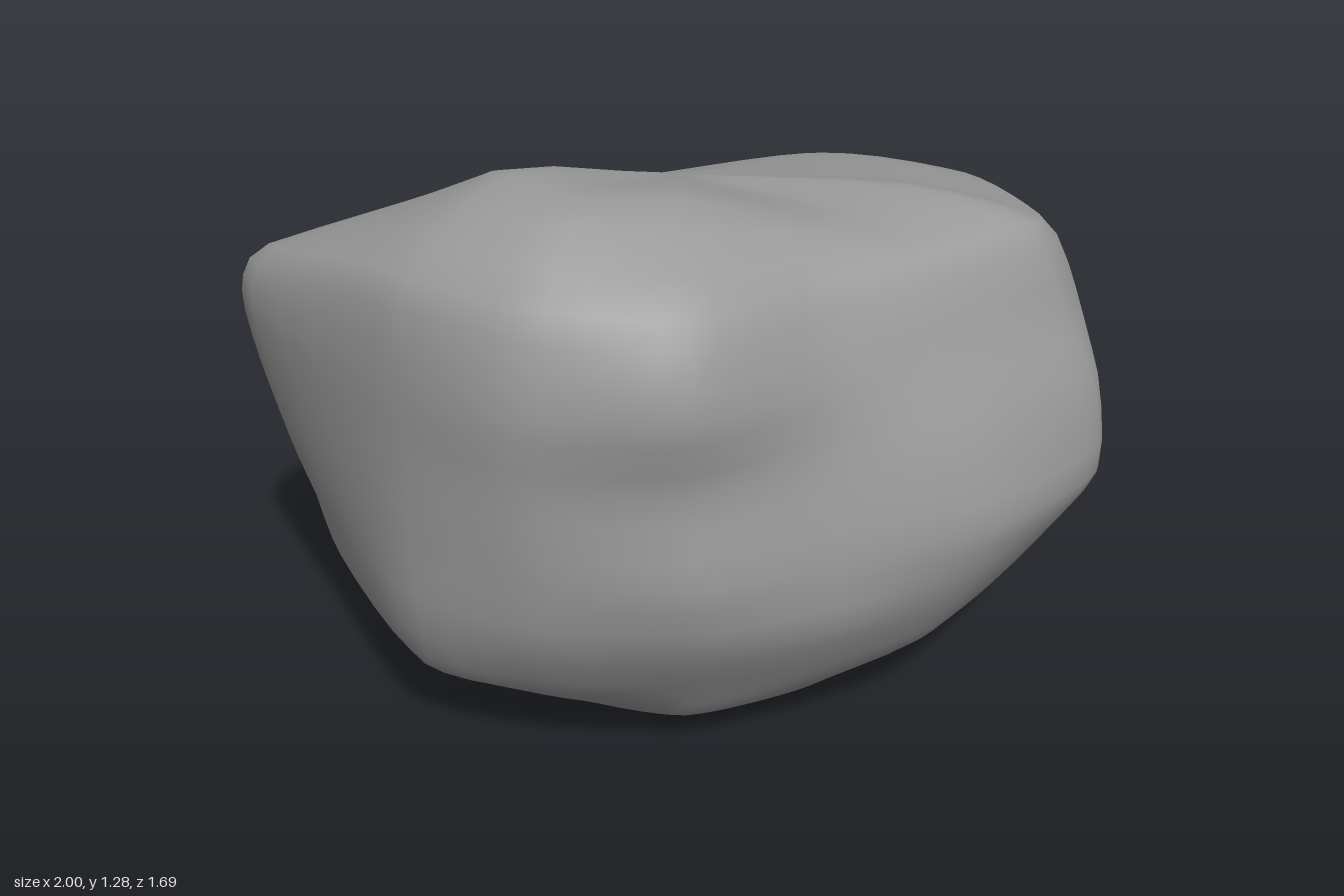
import * as THREE from 'three';

// Directions of the boulder's ridges, in degrees from +x towards +z
const ANGLES = [18, 33, 55, 78, 102, 125, 148, 186, 208, 247, 273, 315, 348];

// Underside outline: radius in each direction
const BASE = [.62, .6, .55, .55, .57, .5, .45, .42, .42, .42, .43, .55, .66];

// Outlines up the sides: height, and radius in each direction
const SIDES = [
  { y: 0.2, r: [.82, .79, .74, .69, .7, .74, .8, .82, .83, .72, .66, .86, .84] },
  { y: 0.38, r: [.93, .92, .85, .79, .81, .84, .86, .88, .95, .85, .78, .98, .96] },
  { y: 0.55, r: [.98, 1.02, .9, .8, .85, .86, .86, .93, 1.01, .9, .83, .98, 1.02] },
  { y: 0.75, r: [.97, .99, .85, .76, .83, .87, .86, .98, .98, .86, .79, .96, .98] },
  { y: 0.92, r: [.93, .91, .77, .73, .86, .88, .86, 1, .86, .72, .66, .91, .94] },
];

// Sloping top: each ring has its own height in each direction
const TOP = [
  { y: [1.08, 1.12, 1.11, 1.1, 1.1, 1.12, 1.13, 1.03, .96, .94, .99, 1.01, 1.05],
    r: [.83, .82, .68, .65, .79, .82, .82, .93, .72, .59, .54, .8, .83] },
  { y: [1.15, 1.18, 1.16, 1.19, 1.24, 1.27, 1.27, 1.14, 1.07, 1.04, 1.06, 1.08, 1.11],
    r: [.5, .55, .45, .46, .49, .59, .52, .47, .4, .33, .3, .42, .45] },
];
const AROUND = 65;
const UP = 27;

const spline = (points, closed) => new THREE.CatmullRomCurve3(points, closed, 'catmullrom', 0.35);

// Closed curve through one ring
function ringCurve(r, height) {
  return spline(r.map((radius, k) => {
    const a = THREE.MathUtils.degToRad(ANGLES[k]);
    const x = radius * Math.cos(a), z = radius * Math.sin(a);
    return new THREE.Vector3(x, height(k, x, z), z);
  }), true);
}

function rockGeometry() {
  const curves = [
    // The underside rises to the left and to the front
    ringCurve(BASE, (k, x, z) => 0.025 + 0.055 * x + 0.08 * Math.max(z, 0)),
    ...SIDES.map(({ y, r }) => ringCurve(r, () => y)),
    ...TOP.map(({ y, r }) => ringCurve(r, (k) => y[k])),
  ];
  const bottom = new THREE.Vector3(0, 0.02, 0);
  const top = new THREE.Vector3(0, 1.155, 0);
  const positions = [...bottom.toArray()];
  const index = [];

  // Meridians run from the underside to the crown, with slight surface unevenness
  for (let j = 0; j < AROUND; j++) {
    const line = spline([bottom, ...curves.map((c) => c.getPoint(j / AROUND)), top], false);
    for (let i = 1; i < UP; i++) {
      const p = line.getPoint(i / UP);
      p.multiplyScalar(1 + 0.004 * Math.sin(7 * p.x + 4 * p.y) * Math.sin(6 * p.z - 9 * p.y));
      positions.push(...p.toArray());
    }
  }
  positions.push(...top.toArray());

  // Quads between neighbouring meridians, single triangles at the poles
  const last = positions.length / 3 - 1;
  const id = (i, j) => (i === 0 ? 0 : i === UP ? last : 1 + (j % AROUND) * (UP - 1) + i - 1);
  for (let j = 0; j < AROUND; j++) {
    for (let i = 0; i < UP; i++) {
      const a = id(i, j), b = id(i, j + 1), c = id(i + 1, j), d = id(i + 1, j + 1);
      if (i > 0) index.push(a, c, b);
      if (i < UP - 1) index.push(b, c, d);
    }
  }

  const geometry = new THREE.BufferGeometry();
  geometry.setAttribute('position', new THREE.Float32BufferAttribute(positions, 3));
  geometry.setIndex(index);

  // Centre it and rest it on the ground
  geometry.computeBoundingBox();
  const box = geometry.boundingBox;
  const centre = box.getCenter(new THREE.Vector3());
  geometry.translate(-centre.x, -box.min.y, -centre.z);
  geometry.computeVertexNormals();
  return geometry;
}

export function createModel() {
  const group = new THREE.Group();
  group.name = 'boulder';
  const rock = new THREE.Mesh(rockGeometry(), new THREE.MeshStandardMaterial({ color: 0x999999 }));
  rock.name = 'rock';
  group.add(rock);
  return group;
}
